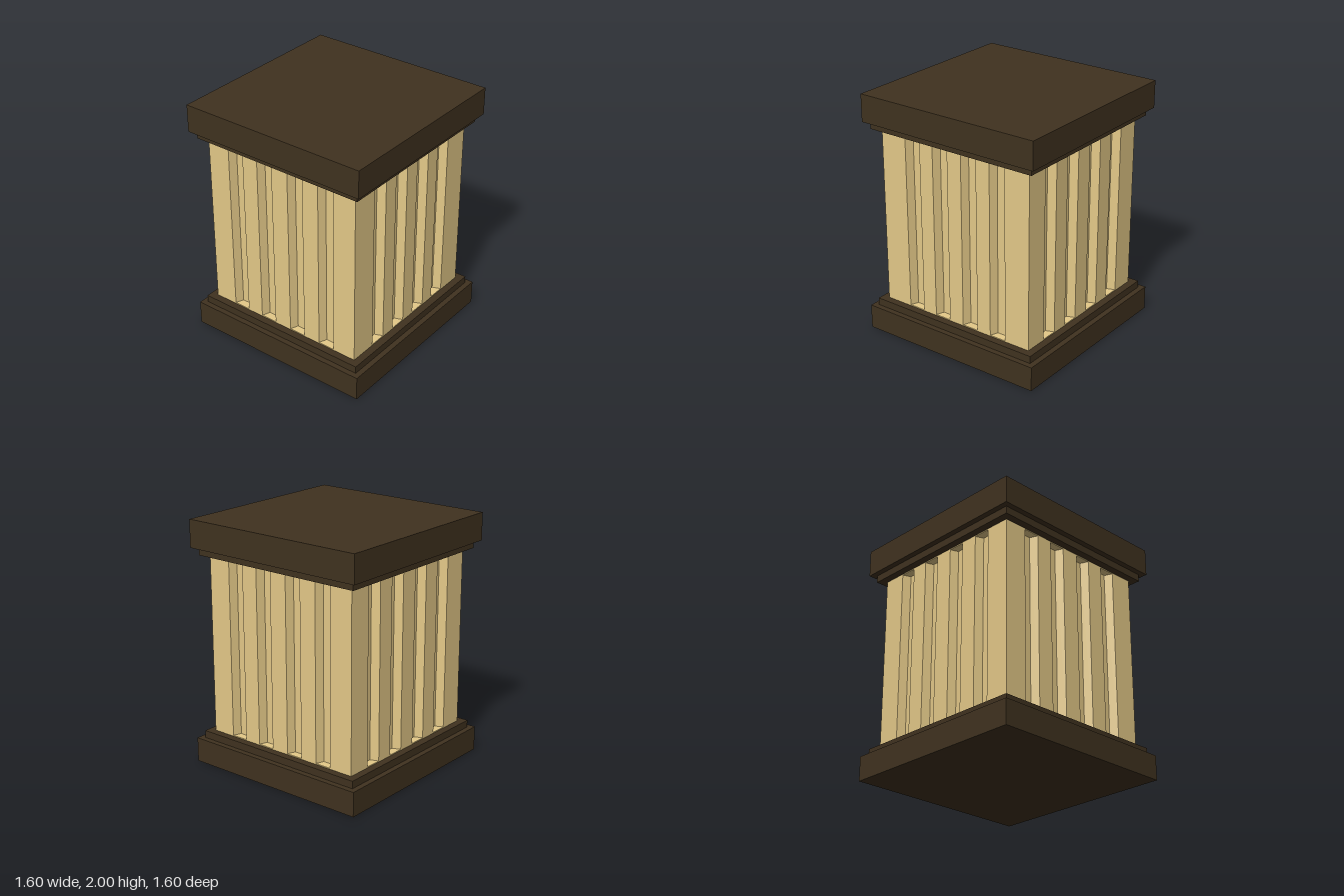
import * as THREE from 'three';

const SHAFT_HALF = 0.695;
const SHAFT_BOTTOM = 0.26;
const SHAFT_TOP = 1.715;
const END_PLATE = 0.008;

// Flute cross-section: offset along the face, depth into the shaft
const FLUTE = [[-0.07, 0], [-0.045, 0.065], [0.045, 0.065], [0.07, 0]];
const FRONT_FLUTES = [-0.395, -0.13, 0.14, 0.405];
const SIDE_FLUTES = [-0.43, -0.15, 0.14, 0.425];

// Square outline with four flutes cut into every side
function flutedOutline() {
  const points = [];
  for (let side = 0; side < 4; side++) {
    const angle = side * Math.PI / 2;
    const add = (along, depth) => points.push(
      new THREE.Vector2(along, depth - SHAFT_HALF).rotateAround(new THREE.Vector2(), angle));
    add(-SHAFT_HALF, 0);
    for (const centre of side === 0 ? FRONT_FLUTES : SIDE_FLUTES) {
      for (const [offset, depth] of FLUTE) add(centre + offset, depth);
    }
  }
  return new THREE.Shape(points);
}

export function createModel() {
  const pedestal = new THREE.Group();
  pedestal.name = 'pedestal';

  const cream = new THREE.MeshStandardMaterial({ color: 0xe4c988 });
  cream.name = 'cream stone';
  const brown = new THREE.MeshStandardMaterial({ color: 0x40321f });
  brown.name = 'dark brown';

  // Square slab between two heights
  function slab(name, half, bottom, top, material) {
    const mesh = new THREE.Mesh(new THREE.BoxGeometry(half * 2, top - bottom, half * 2), material);
    mesh.name = name;
    mesh.position.y = (bottom + top) / 2;
    pedestal.add(mesh);
  }

  // Base and cap, each with a narrower step next to the shaft
  slab('base', 0.8, 0, 0.2, brown);
  slab('baseStep', 0.755, 0.2, SHAFT_BOTTOM, brown);
  slab('capStep', 0.755, SHAFT_TOP, 1.775, brown);
  slab('cap', 0.8, 1.775, 2, brown);

  // Thin plates that close the flutes at both ends
  slab('lowerFluteEnds', SHAFT_HALF, SHAFT_BOTTOM, SHAFT_BOTTOM + END_PLATE, cream);
  slab('upperFluteEnds', SHAFT_HALF, SHAFT_TOP - END_PLATE, SHAFT_TOP, cream);

  // Fluted shaft between the plates
  const geometry = new THREE.ExtrudeGeometry(flutedOutline(), {
    depth: SHAFT_TOP - SHAFT_BOTTOM - 2 * END_PLATE, bevelEnabled: false,
  });
  geometry.rotateX(-Math.PI / 2);
  const shaft = new THREE.Mesh(geometry, cream);
  shaft.name = 'flutedShaft';
  shaft.position.y = SHAFT_BOTTOM + END_PLATE;
  pedestal.add(shaft);

  return pedestal;
}
